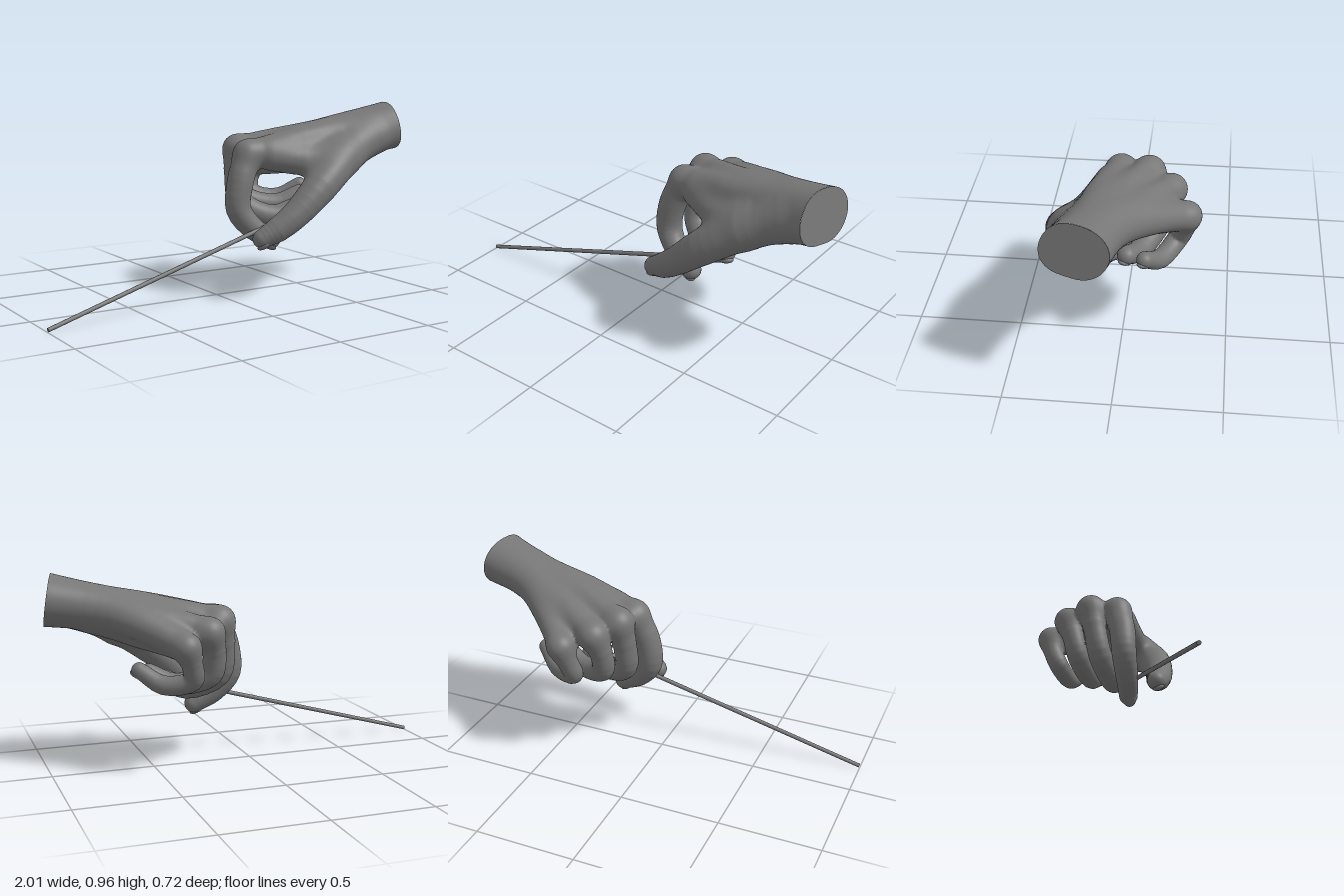
import * as THREE from 'three';
import { mergeVertices } from 'three/addons/utils/BufferGeometryUtils.js';

// Each limb is a chain of joints [x, y, z, radius], root to tip.
const FINGERS = {
  thumb: [[0.8, 0.765, 0.185, 0.072], [0.62, 0.68, 0.228, 0.092], [0.44, 0.555, 0.275, 0.085],
    [0.29, 0.425, 0.274, 0.069], [0.2, 0.357, 0.252, 0.062], [0.122, 0.313, 0.228, 0.047]],
  indexFinger: [[0.165, 0.71, 0.035, 0.07], [0.108, 0.58, 0.053, 0.067], [0.093, 0.44, 0.06, 0.063],
    [0.165, 0.34, 0.085, 0.057], [0.26, 0.28, 0.105, 0.048]],
  middleFinger: [[0.19, 0.725, -0.1, 0.07], [0.165, 0.59, -0.08, 0.058], [0.18, 0.455, -0.05, 0.06],
    [0.32, 0.383, 0.03, 0.058], [0.43, 0.424, 0.07, 0.05]],
  ringFinger: [[0.275, 0.69, -0.21, 0.066], [0.243, 0.58, -0.185, 0.056], [0.255, 0.475, -0.155, 0.056],
    [0.41, 0.428, -0.075, 0.052], [0.525, 0.482, -0.024, 0.044]],
  littleFinger: [[0.41, 0.64, -0.293, 0.06], [0.38, 0.55, -0.278, 0.05], [0.37, 0.475, -0.248, 0.049],
    [0.49, 0.447, -0.178, 0.046], [0.592, 0.514, -0.112, 0.038]],
};

// Chains of the hand's body: four metacarpals, thumb base, thumb web, palm pad.
const BODY = [
  [[1.02, 0.868, 0.21, 0.09], [0.76, 0.81, 0.135, 0.082], [0.45, 0.768, 0.09, 0.076], [0.165, 0.71, 0.035, 0.067]],
  [[1.03, 0.862, 0.16, 0.107], [0.76, 0.8, 0.1, 0.096], [0.45, 0.77, 0, 0.075], [0.19, 0.725, -0.1, 0.068]],
  [[1.03, 0.822, 0.14, 0.112], [0.76, 0.79, 0.065, 0.094], [0.5, 0.75, -0.09, 0.075], [0.275, 0.69, -0.21, 0.065]],
  [[1.03, 0.85, 0.1, 0.09], [0.75, 0.795, 0.02, 0.085], [0.56, 0.722, -0.13, 0.075], [0.41, 0.64, -0.288, 0.06]],
  [[1.03, 0.822, 0.232, 0.084], [0.74, 0.75, 0.18, 0.072]],
  [[0.62, 0.7, 0.18, 0.085], [0.42, 0.68, 0.14, 0.078], [0.28, 0.695, 0.085, 0.07]],
  [[0.76, 0.745, 0.08, 0.072], [0.56, 0.68, 0, 0.08], [0.42, 0.635, -0.2, 0.065]],
];

// Flat cut through the wrist.
const CUT_NORMAL = new THREE.Vector3(0.966, 0.149, 0.21).normalize();
const CUT_CENTRE = new THREE.Vector3(0.97, 0.83, 0.15);
const beyondCut = (p) => new THREE.Vector3(...p).sub(CUT_CENTRE).dot(CUT_NORMAL);

// Run a smooth curve through a chain's joints.
function smoothChain(chain) {
  const curve = new THREE.CatmullRomCurve3(chain.map((j) => new THREE.Vector3(...j)));
  const count = (chain.length - 1) * 4;
  return curve.getPoints(count).map((p, i) => {
    const k = Math.min(Math.floor(i / 4), chain.length - 2);
    return [p.x, p.y, p.z, THREE.MathUtils.lerp(chain[k][3], chain[k + 1][3], i / 4 - k)];
  });
}

const NAMES = ['palm', ...Object.keys(FINGERS)];
const LIMBS = Object.values(FINGERS).map(smoothChain);
const PALM = BODY.map(smoothChain);

// Distance to a tapered capsule between two joints.
function capsule(x, y, z, a, b) {
  const bx = b[0] - a[0], by = b[1] - a[1], bz = b[2] - a[2];
  const px = x - a[0], py = y - a[1], pz = z - a[2];
  const t = Math.min(1, Math.max(0, (px * bx + py * by + pz * bz) / (bx * bx + by * by + bz * bz)));
  const dx = px - t * bx, dy = py - t * by, dz = pz - t * bz;
  return Math.sqrt(dx * dx + dy * dy + dz * dz) - a[3] - t * (b[3] - a[3]);
}

function chainDistance(x, y, z, chain) {
  let d = 10;
  for (let i = 1; i < chain.length; i++) d = Math.min(d, capsule(x, y, z, chain[i - 1], chain[i]));
  return d;
}

// Minimum with a soft fillet of width k.
function blend(a, b, k) {
  const h = Math.max(0, k - Math.abs(a - b));
  return Math.min(a, b) - (h * h) / (4 * k);
}

const palmDistance = (x, y, z) => PALM.reduce((d, c) => blend(d, chainDistance(x, y, z, c), 0.05), 10);

// Fingers melt into the palm but stay separate from one another.
function handDistance(x, y, z) {
  const palm = palmDistance(x, y, z);
  return LIMBS.reduce((d, c, i) => Math.min(d, blend(palm, chainDistance(x, y, z, c), i ? 0.04 : 0.08)), palm);
}

function gradient([x, y, z]) {
  const e = 0.004;
  return new THREE.Vector3(
    handDistance(x + e, y, z) - handDistance(x - e, y, z),
    handDistance(x, y + e, z) - handDistance(x, y - e, z),
    handDistance(x, y, z + e) - handDistance(x, y, z - e)).normalize().toArray();
}

// Which named part a point of the skin belongs to.
function ownerOf(p) {
  const all = [palmDistance(...p), ...LIMBS.map((c) => chainDistance(...p, c))];
  return all.indexOf(Math.min(...all));
}

// Skin the distance field with a grid of quads, one geometry per named part.
function skinHand() {
  const step = 0.011, min = [-0.03, 0.17, -0.42], size = [100, 78, 76];
  const stride = [1, size[0], size[0] * size[1]];
  const total = stride[2] * size[2];
  const field = new Float32Array(total);
  const cellVertex = new Int32Array(total).fill(-1);
  const at = (i) => [i % size[0], Math.floor(i / stride[1]) % size[1], Math.floor(i / stride[2])];
  for (let i = 0; i < total; i++) field[i] = handDistance(...at(i).map((c, a) => min[a] + c * step));

  // One vertex in every cell the surface crosses, pulled onto the surface.
  const positions = [], normals = [], owners = [], past = [];
  for (let i = 0; i < total; i++) {
    const cell = at(i);
    if (Math.abs(field[i]) > step * 3 || cell.some((c, a) => c >= size[a] - 1)) continue;
    const sum = [0, 0, 0];
    let hits = 0;
    for (let corner = 0; corner < 8; corner++) {
      const c = [corner & 1, (corner >> 1) & 1, corner >> 2];
      const from = i + c[0] + c[1] * stride[1] + c[2] * stride[2];
      for (let a = 0; a < 3; a++) {
        if (c[a]) continue;
        const f0 = field[from], f1 = field[from + stride[a]];
        if ((f0 < 0) === (f1 < 0)) continue;
        for (let k = 0; k < 3; k++) sum[k] += c[k] + (k === a ? f0 / (f0 - f1) : 0);
        hits++;
      }
    }
    if (!hits) continue;
    let p = sum.map((s, a) => min[a] + (cell[a] + s / hits) * step);
    const g = gradient(p), d = handDistance(...p);
    p = p.map((c, a) => c - g[a] * d);
    const over = Math.max(0, beyondCut(p));
    p = new THREE.Vector3(...p).addScaledVector(CUT_NORMAL, -over).toArray();
    cellVertex[i] = owners.length;
    positions.push(...p);
    normals.push(...gradient(p));
    owners.push(ownerOf(p));
    past.push(over > 0);
  }

  // One quad around every grid edge through the surface, up to the wrist cut.
  const indices = NAMES.map(() => []);
  for (let i = 0; i < total; i++) {
    for (let a = 0; a < 3; a++) {
      const next = i + stride[a];
      if (next >= total || (field[i] < 0) === (field[next] < 0)) continue;
      const u = stride[(a + 1) % 3], v = stride[(a + 2) % 3];
      const q = [i - u - v, i - v, i, i - u].map((c) => cellVertex[c] ?? -1);
      if (q.some((c) => c < 0) || q.every((c) => past[c])) continue;
      if (field[i] >= 0) q.reverse();
      indices[owners[q[0]]].push(q[0], q[1], q[2], q[0], q[2], q[3]);
    }
  }
  return indices.map((index) => {
    const geometry = new THREE.BufferGeometry();
    geometry.setAttribute('position', new THREE.Float32BufferAttribute(positions, 3));
    geometry.setAttribute('normal', new THREE.Float32BufferAttribute(normals, 3));
    return mergeVertices(geometry.setIndex(index), 1e-5);
  });
}

// Flat disc that closes the wrist, its rim found by halving along each spoke.
function makeWristCut(material) {
  const turn = new THREE.Quaternion().setFromUnitVectors(new THREE.Vector3(0, 0, 1), CUT_NORMAL);
  const rim = Array.from({ length: 72 }, (_, i) => {
    const spoke = new THREE.Vector2(1, 0).rotateAround(new THREE.Vector2(), (i / 72) * Math.PI * 2);
    const dir = new THREE.Vector3(spoke.x, spoke.y, 0).applyQuaternion(turn);
    let r = 0.15;
    for (let s = 0.075; s > 1e-4; s /= 2) {
      r += handDistance(...CUT_CENTRE.clone().addScaledVector(dir, r).toArray()) < 0 ? s : -s;
    }
    return spoke.multiplyScalar(r);
  });
  const disc = new THREE.Mesh(new THREE.ShapeGeometry(new THREE.Shape(rim)), material);
  disc.position.copy(CUT_CENTRE);
  disc.quaternion.copy(turn);
  return disc;
}

// A shallow oval plate set into the outer side of a fingertip.
function makeNail(chain, material) {
  const [before, joint, tip] = chain.slice(-3).map((j) => new THREE.Vector3(...j));
  const r = chain.at(-1)[3];
  const along = tip.clone().sub(joint).normalize();
  const outer = joint.clone().sub(before);
  outer.addScaledVector(along, -outer.dot(along)).normalize();
  const across = new THREE.Vector3().crossVectors(along, outer);
  const nail = new THREE.Mesh(new THREE.SphereGeometry(1, 20, 12), material);
  nail.quaternion.setFromRotationMatrix(new THREE.Matrix4().makeBasis(across, along, outer));
  nail.scale.set(r * 0.7, r * 0.9, r * 0.38);
  nail.position.copy(tip).addScaledVector(along, r * 0.05).addScaledVector(outer, r * 0.7);
  return nail;
}

export function createModel() {
  const model = new THREE.Group();
  const material = new THREE.MeshStandardMaterial({ color: 0x777777 });
  const add = (mesh, name) => model.add(Object.assign(mesh, { name }));

  skinHand().forEach((geometry, i) => add(new THREE.Mesh(geometry, material), NAMES[i]));
  add(makeWristCut(material), 'wristCut');
  for (const [name, chain] of Object.entries(FINGERS)) add(makeNail(chain, material), `${name}Nail`);

  // Thin stick held between thumb and fingers
  const start = new THREE.Vector3(-0.997, 0.012, 0.205), end = new THREE.Vector3(0.3, 0.38, 0.13);
  const axis = end.clone().sub(start);
  const stick = new THREE.Mesh(new THREE.CylinderGeometry(0.011, 0.01, axis.length(), 16), material);
  stick.position.copy(start).add(end).multiplyScalar(0.5);
  stick.quaternion.setFromUnitVectors(new THREE.Vector3(0, 1, 0), axis.normalize());
  add(stick, 'stick');
  return model;
}
